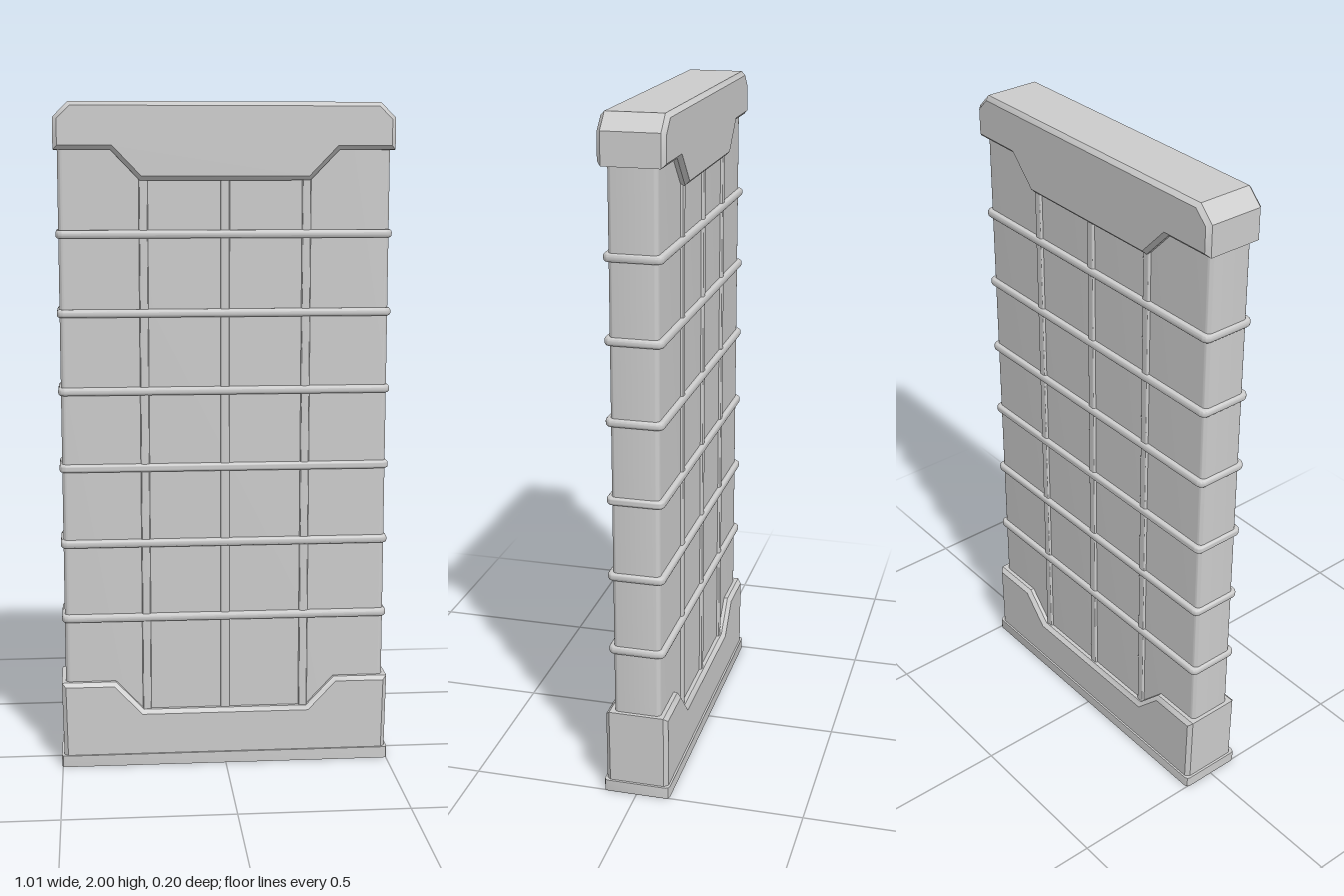
import * as THREE from 'three';
import { toCreasedNormals } from 'three/addons/utils/BufferGeometryUtils.js';

const material = new THREE.MeshStandardMaterial({ color: 0xcccccc });

function addMesh(group, geometry, name, x = 0, y = 0, z = 0) {
  const mesh = new THREE.Mesh(toCreasedNormals(geometry, 0.6), material);
  mesh.name = name;
  mesh.position.set(x, y, z);
  group.add(mesh);
  return mesh;
}

// Rectangle in plan with corners of radius r; few divisions give a chamfer
function planShape(halfX, halfZ, r) {
  const s = new THREE.Shape();
  s.moveTo(halfX, -halfZ + r);
  s.lineTo(halfX, halfZ - r);
  s.absarc(halfX - r, halfZ - r, r, 0, Math.PI / 2);
  s.absarc(-halfX + r, halfZ - r, r, Math.PI / 2, Math.PI);
  s.absarc(-halfX + r, -halfZ + r, r, Math.PI, Math.PI * 1.5);
  s.absarc(halfX - r, -halfZ + r, r, Math.PI * 1.5, Math.PI * 2);
  return s;
}

// Horizontal plate from y0 to y1, edges bevelled inside its outline
function plate(halfX, halfZ, r, y0, y1, bevel, bevelSegments, curveSegments) {
  const g = new THREE.ExtrudeGeometry(planShape(halfX, halfZ, r), {
    depth: y1 - y0 - 2 * bevel, curveSegments, bevelEnabled: bevel > 0,
    bevelThickness: bevel, bevelSize: bevel, bevelOffset: -bevel, bevelSegments,
  });
  g.rotateX(-Math.PI / 2);
  g.translate(0, y0 + bevel, 0);
  return g;
}

// Mirrored front outline given by its right half, extruded along z with chamfered edges
function endBlock(half, halfZ, bevel) {
  const left = half.map(([x, y]) => [-x, y]).reverse();
  const shape = new THREE.Shape([...half, ...left].map(([x, y]) => new THREE.Vector2(x, y)));
  const g = new THREE.ExtrudeGeometry(shape, {
    depth: 2 * (halfZ - bevel), bevelThickness: bevel, bevelSize: bevel,
    bevelOffset: -bevel, bevelSegments: 1,
  });
  g.translate(0, 0, -halfZ + bevel);
  return g;
}

export function createModel() {
  const model = new THREE.Group();
  model.name = 'panel';

  // Main slab
  addMesh(model, plate(0.488, 0.07, 0.015, 0.03, 1.9, 0, 1, 4), 'slab');

  // Bands wrapping the slab
  for (let i = 0; i < 6; i++) {
    const y = 0.462 + i * 0.2315;
    addMesh(model, plate(0.496, 0.084, 0.02, y - 0.012, y + 0.012, 0.008, 3, 3), 'band');
  }

  // Upright ribs on both faces
  const ribs = new THREE.Group();
  ribs.name = 'ribs';
  model.add(ribs);
  for (const x of [-0.24, 0, 0.24]) {
    addMesh(ribs, plate(0.0135, 0.078, 0.007, 0.1, 1.85, 0, 1, 3), 'rib', x);
  }

  // Top cap with sloping shoulders and a dropped centre
  addMesh(model, endBlock([
    [0.25, 1.775], [0.335, 1.863], [0.5, 1.863], [0.5, 1.955], [0.455, 2],
  ], 0.094, 0.012), 'topCap');

  // Base block with a lowered centre
  addMesh(model, endBlock([
    [0.495, 0.01], [0.5, 0.262], [0.335, 0.262], [0.25, 0.172],
  ].reverse().map(([x, y]) => [x, y]).reverse(), 0.094, 0.012), 'baseBlock');

  // Foot plinth
  addMesh(model, plate(0.503, 0.1, 0.012, 0, 0.035, 0, 1, 1), 'foot');

  return model;
}
